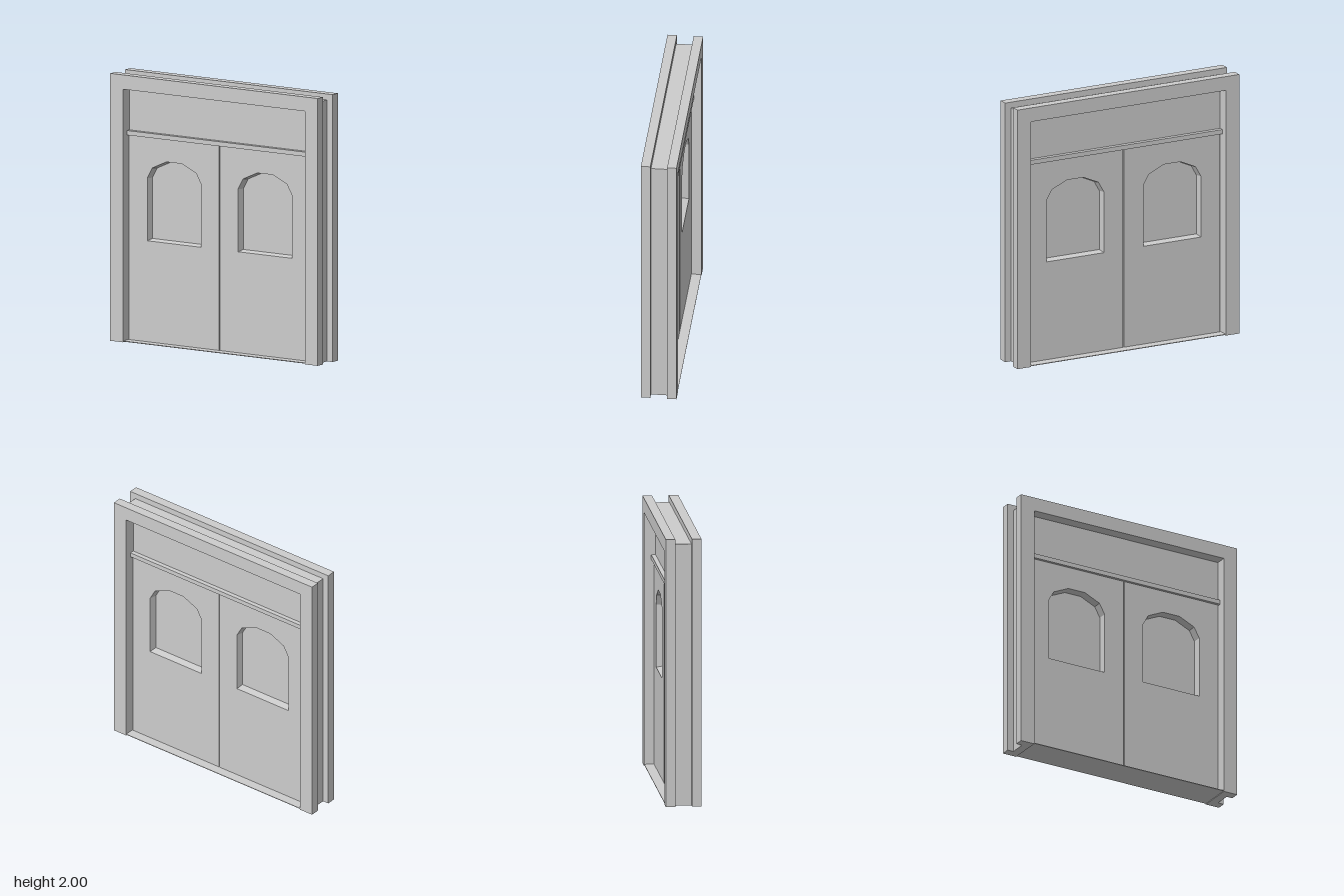
import * as THREE from 'three';

const material = new THREE.MeshStandardMaterial({ color: 0xcccccc, flatShading: true });
const paneMaterial = new THREE.MeshStandardMaterial({ color: 0xcccccc, side: THREE.DoubleSide });
const INNER_X = 0.812, INNER_TOP = 1.893;
const DOOR_HALF = 0.057; // half the leaf thickness

function add(parent, name, geometry, x = 0, y = 0, z = 0, mat = material) {
  const mesh = new THREE.Mesh(geometry, mat);
  mesh.name = name;
  mesh.position.set(x, y, z);
  parent.add(mesh);
}

function polygon(points) {
  return new THREE.Shape(points.map(([x, y]) => new THREE.Vector2(x, y)));
}

// Extrusion centred on z = 0
function extrude(shape, depth, steps = 1) {
  return new THREE.ExtrudeGeometry(shape, { depth, steps, bevelEnabled: false }).translate(0, 0, -depth / 2);
}

// Door-frame outline, open at the bottom
function portal(halfWidth, top) {
  return polygon([
    [-halfWidth, 0], [-INNER_X, 0], [-INNER_X, INNER_TOP], [INNER_X, INNER_TOP],
    [INNER_X, 0], [halfWidth, 0], [halfWidth, top], [-halfWidth, top],
  ]);
}

// Low-poly arched window, centred on the leaf
const ARCH = [
  [-0.24, 0.765], [0.24, 0.765], [0.24, 1.235], [0.195, 1.315], [0.07, 1.372],
  [-0.07, 1.372], [-0.195, 1.315], [-0.24, 1.235],
];

// Slab whose window opening narrows slightly towards the middle of its thickness
function slabGeometry() {
  const slab = polygon([[-0.401, 0.01], [0.401, 0.01], [0.401, 1.545], [-0.401, 1.545]]);
  slab.holes.push(new THREE.Path(polygon(ARCH).getPoints()));
  const geometry = extrude(slab, DOOR_HALF * 2, 2);
  const p = geometry.attributes.position;
  for (let i = 0; i < p.count; i++) {
    if (Math.abs(p.getZ(i)) < 0.001 && Math.abs(p.getX(i)) < 0.3) {
      p.setXY(i, p.getX(i) * 0.967, 1.07 + (p.getY(i) - 1.07) * 0.967);
    }
  }
  geometry.computeVertexNormals();
  return geometry;
}

function doorLeaf(name, x) {
  const leaf = new THREE.Group();
  leaf.name = name;
  leaf.position.x = x;
  add(leaf, 'doorSlab', slabGeometry());
  add(leaf, 'windowPane', new THREE.ShapeGeometry(polygon(ARCH)), 0, 0, 0, paneMaterial);
  return leaf;
}

export function createModel() {
  const model = new THREE.Group();
  model.name = 'doubleDoor';

  // Frame: a narrower core between two wider casings
  add(model, 'frameCore', extrude(portal(0.877, 1.956), 0.124));
  add(model, 'frontCasing', extrude(portal(0.925, 2), 0.07), 0, 0, 0.097);
  add(model, 'backCasing', extrude(portal(0.925, 2), 0.07), 0, 0, -0.097);

  // Threshold, transom bar and the panel above it
  add(model, 'threshold', new THREE.BoxGeometry(INNER_X * 2, 0.005, 0.26), 0, 0.0075, 0);
  add(model, 'transomBar', new THREE.BoxGeometry(INNER_X * 2, 0.034, 0.156), 0, 1.559, 0);
  add(model, 'transomPanel', new THREE.BoxGeometry(INNER_X * 2, 0.317, 0.09), 0, 1.7345, 0);

  // Two leaves with a narrow gap between them
  model.add(doorLeaf('leftDoor', 0.405), doorLeaf('rightDoor', -0.405));
  return model;
}
